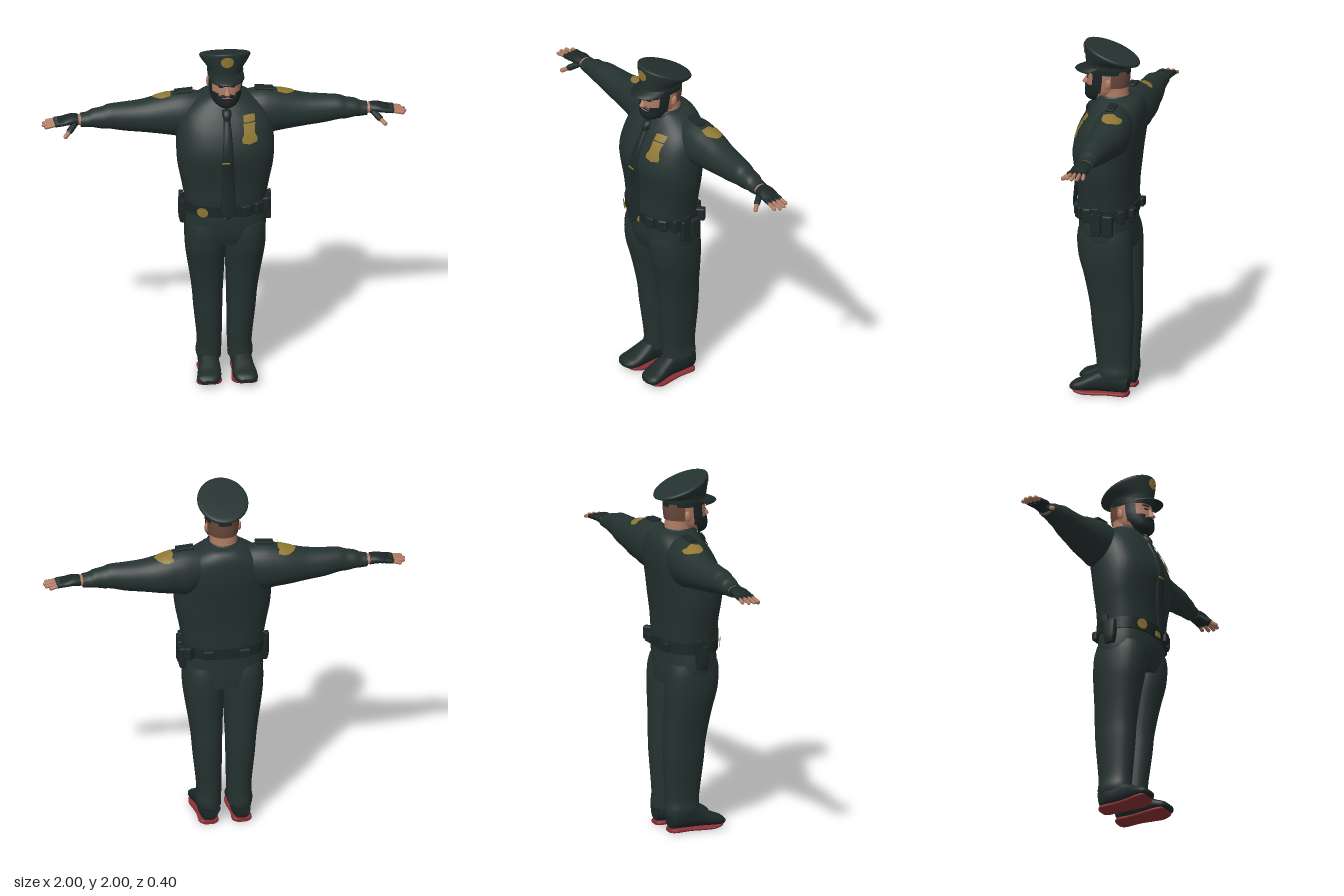
import * as THREE from 'three';
import { RoundedBoxGeometry } from 'three/addons/geometries/RoundedBoxGeometry.js';

const AXES = { x: [0, 2, 1], y: [1, 0, 2], z: [2, 1, 0] }; // [along, u, w]

// Catmull-Rom refinement of rings
function refine(rings, steps) {
  const out = [];
  for (let i = 0; i < rings.length - 1; i++) {
    const [p0, p1, p2, p3] = [-1, 0, 1, 2].map(k => rings[Math.min(Math.max(i + k, 0), rings.length - 1)]);
    for (let s = 0; s < steps; s++) {
      const t = s / steps;
      out.push(p1.map((b, k) => {
        const a = p0[k], c = p2[k], d = p3[k];
        return b + 0.5 * t * (c - a + t * (2 * a - 5 * b + 4 * c - d + t * (3 * (b - c) + d - a)));
      }));
    }
  }
  out.push(rings[rings.length - 1]);
  return out;
}

// Skin over oval rings [t, uMin, uMax, wMin, wMax, tilt], ascending along the axis
function loft(axis, rings, { segs = 28, steps = 4, power = 1, arc = null, caps = true } = {}) {
  const [A, U, W] = AXES[axis], pos = [], idx = [];
  const rows = refine(rings.map(r => [...r, 0].slice(0, 6)), steps);
  const n = arc ? segs + 1 : segs, [a0, a1] = arc || [0, Math.PI * 2];
  const bend = v => Math.sign(v) * Math.abs(v) ** power;
  const point = (r, j) => {
    const a = a0 + (a1 - a0) * j / segs, p = [0, 0, 0], dw = bend(Math.cos(a)) * (r[4] - r[3]) / 2;
    p[U] = (r[1] + r[2]) / 2 + bend(Math.sin(a)) * (r[2] - r[1]) / 2;
    p[W] = (r[3] + r[4]) / 2 + dw;
    p[A] = r[0] + r[5] * dw;
    return p;
  };
  rows.forEach(r => { for (let j = 0; j < n; j++) pos.push(...point(r, j)); });
  for (let i = 0; i < rows.length - 1; i++) for (let j = 0; j < segs; j++) {
    const k = (j + 1) % n, a = i * n + j, b = i * n + k, c = b + n, d = a + n;
    idx.push(a, b, c, a, c, d);
  }
  if (caps && !arc) for (const [r, top] of [[rows[0], false], [rows[rows.length - 1], true]]) {
    const s = pos.length / 3, c = [0, 0, 0];
    c[A] = r[0]; c[U] = (r[1] + r[2]) / 2; c[W] = (r[3] + r[4]) / 2;
    pos.push(...c);
    for (let j = 0; j < n; j++) pos.push(...point(r, j));
    for (let j = 0; j < n; j++) {
      const p = s + 1 + j, q = s + 1 + (j + 1) % n;
      idx.push(s, ...(top ? [p, q] : [q, p]));
    }
  }
  return build(pos, idx);
}

function build(pos, idx) {
  const g = new THREE.BufferGeometry();
  g.setAttribute('position', new THREE.Float32BufferAttribute(pos, 3));
  g.setIndex(idx);
  g.computeVertexNormals();
  return g;
}

// Thin plate laid on a mesh: outline in (x,y) dropped along -z, or in (x,z) dropped along -y
function drape(target, outline, down = false, lift = 0.005) {
  const pts = down ? [...outline].reverse() : outline, n = pts.length, R = 5, pos = [], idx = [];
  const cx = pts.reduce((s, p) => s + p[0], 0) / n, cy = pts.reduce((s, p) => s + p[1], 0) / n;
  const dir = down ? new THREE.Vector3(0, -1, 0) : new THREE.Vector3(0, 0, -1);
  const ray = new THREE.Raycaster();
  let last = 0;
  for (let k = 0; k <= R; k++) for (const p of pts) {
    const x = cx + (p[0] - cx) * k / R, y = cy + (p[1] - cy) * k / R;
    ray.set(down ? new THREE.Vector3(x, 3, y) : new THREE.Vector3(x, y, 3), dir);
    const hit = ray.intersectObject(target)[0];
    if (hit) last = (down ? hit.point.y : hit.point.z) + lift;
    pos.push(...(down ? [x, last, y] : [x, y, last]));
  }
  for (let k = 0; k < R; k++) for (let j = 0; j < n; j++) {
    const a = k * n + j, b = k * n + (j + 1) % n;
    idx.push(a, a + n, b + n, a, b + n, b);
  }
  return build(pos, idx);
}

const oval = (x, y, rx, ry, n = 20) => Array.from({ length: n }, (_, i) =>
  [x + rx * Math.cos(i / n * Math.PI * 2), y + ry * Math.sin(i / n * Math.PI * 2)]);

// Rounded rod between two points
function rod(a, b, r) {
  const p = new THREE.Vector3(...a), d = new THREE.Vector3(...b).sub(p), g = new THREE.CapsuleGeometry(r, d.length(), 4, 10);
  g.applyQuaternion(new THREE.Quaternion().setFromUnitVectors(new THREE.Vector3(0, 1, 0), d.clone().normalize()));
  return g.translate(p.x + d.x / 2, p.y + d.y / 2, p.z + d.z / 2);
}

const box = (x, y, z, w, h, d, ry = 0) => new RoundedBoxGeometry(w, h, d, 2, Math.min(w, h, d) * 0.25).rotateY(ry).translate(x, y, z);

function mirrored(geo) {
  const g = geo.index ? geo.clone() : geo.clone().setIndex([...Array(geo.attributes.position.count).keys()]);
  g.scale(-1, 1, 1);
  const ix = g.index.array;
  for (let i = 0; i < ix.length; i += 3) [ix[i], ix[i + 1]] = [ix[i + 1], ix[i]];
  g.computeVertexNormals();
  return g;
}

export function createModel() {
  const model = new THREE.Group();
  const paint = (name, color) => Object.assign(new THREE.MeshStandardMaterial({ color, side: THREE.DoubleSide }), { name });
  const cloth = paint('uniform cloth', 0x243230), leather = paint('dark leather', 0x1c2827), gold = paint('gold', 0x8f7834),
    skin = paint('skin', 0xae7a62), beardDark = paint('beard', 0x1b2425), hairBrown = paint('cropped hair', 0x67473a),
    red = paint('red sole', 0x8c3035);
  const add = (name, geo, mat) => {
    const m = new THREE.Mesh(geo, mat);
    m.name = name;
    model.add(m);
    return m;
  };
  const pair = (name, geo, mat) => [add(name + 'Left', geo, mat), add(name + 'Right', mirrored(geo), mat)];
  const sym = rows => rows.map(([t, u, ...rest]) => [t, -u, u, ...rest]);

  // Shirt
  const torso = add('torso', loft('y', sym([[1.03, .215, -.15, .15], [1.1, .225, -.157, .158], [1.2, .243, -.16, .162],
    [1.3, .262, -.17, .176], [1.4, .268, -.182, .186], [1.5, .262, -.196, .158], [1.58, .24, -.197, .118],
    [1.64, .19, -.19, .08], [1.685, .12, -.165, .05], [1.7, .08, -.12, .04]]), { power: .85, segs: 40 }), cloth);
  const [armL] = pair('sleeve', loft('x', [[.08, -.16, .0, 1.5, 1.67], [.2, -.187, .025, 1.42, 1.688], [.28, -.19, .02, 1.43, 1.68],
    [.35, -.188, .01, 1.44, 1.662], [.45, -.172, -.002, 1.455, 1.638], [.55, -.16, -.01, 1.468, 1.628], [.63, -.146, -.015, 1.485, 1.622],
    [.67, -.138, -.02, 1.487, 1.608], [.72, -.134, -.026, 1.497, 1.598], [.75, -.128, -.03, 1.498, 1.582], [.785, -.126, -.034, 1.502, 1.576]]), cloth);
  add('collarBand', loft('y', sym([[1.65, .115, -.16, .075], [1.685, .098, -.135, .07], [1.705, .086, -.12, .06]]), { caps: false }), cloth);
  pair('collarFlap', drape(torso, [[.006, 1.635], [.05, 1.585], [.075, 1.6], [.1, 1.63], [.095, 1.665], [.05, 1.675], [.02, 1.66]], false, .01), cloth);
  pair('epaulette', new RoundedBoxGeometry(.1, .014, .05, 2, .004).rotateZ(-.08).translate(.22, 1.692, -.075), leather);
  pair('shoulderPatch', drape(armL, [[.29, -.155], [.29, -.1], [.295, -.05], [.34, -.05], [.37, -.065], [.392, -.095], [.375, -.13], [.35, -.15], [.32, -.158]], true), gold);

  // Tie, clip and chest badge
  add('tie', loft('y', sym([[1.03, .004, .185, .2], [1.07, .037, .184, .2], [1.2, .037, .17, .19], [1.3, .034, .17, .192],
    [1.4, .03, .18, .198], [1.5, .025, .15, .174], [1.6, .018, .09, .125]]), { segs: 16 }), leather);
  add('tieKnot', loft('y', sym([[1.59, .016, .08, .132], [1.62, .026, .07, .128], [1.645, .024, .05, .11]]), { segs: 16 }), leather);
  add('tieClip', box(-.012, 1.37, .197, .042, .009, .009), gold);
  add('badgeBar', drape(torso, [[.09, 1.578], [.12, 1.575], [.155, 1.578], [.155, 1.61], [.12, 1.613], [.09, 1.61]], false, .008), gold);
  add('badge', drape(torso, [[.08, 1.475], [.12, 1.465], [.163, 1.475], [.165, 1.495], [.152, 1.52], [.152, 1.555], [.158, 1.572],
    [.12, 1.572], [.088, 1.572], [.09, 1.555], [.09, 1.52], [.078, 1.495]], false, .008), gold);

  // Trousers
  add('hips', loft('y', sym([[.84, .205, -.155, .125], [.9, .222, -.157, .145], [.97, .224, -.153, .153], [1.05, .216, -.15, .152]]), { power: .85 }), cloth);
  pair('trouserLeg', loft('y', [[.1, .018, .152, -.15, .038], [.13, .018, .156, -.152, .042], [.2, .015, .15, -.15, .046], [.4, .012, .17, -.162, .068],
    [.5, .01, .178, -.164, .076], [.6, .006, .191, -.161, .092], [.7, .001, .207, -.161, .112], [.8, -.002, .22, -.161, .137],
    [.9, -.002, .222, -.155, .146], [.96, 0, .215, -.14, .14]], { power: .9 }), cloth);

  // Shoes
  pair('shoe', loft('z', [[-.135, .03, .135, .065, .125], [-.128, .045, .135, .02, .13], [-.08, .032, .145, .018, .15], [0, .036, .146, .018, .15],
    [.06, .032, .152, .018, .122], [.12, .032, .164, .018, .088], [.165, .045, .163, .02, .07], [.188, .075, .135, .03, .05]]
    .map(([t, a, b, c, d]) => [t, c, d, a, b]), { power: .8 }), leather);
  pair('sole', loft('z', [[-.135, 0, .022, .055, .125], [-.11, 0, .026, .036, .146], [-.03, .002, .024, .038, .146], [.05, 0, .024, .03, .156],
    [.11, .002, .026, .027, .168], [.155, .012, .032, .045, .16], [.17, .02, .034, .07, .14]], { power: .6 }), red);

  // Hands in fingerless gloves
  pair('wrist', loft('x', [[.76, -.115, -.045, 1.51, 1.568], [.815, -.118, -.04, 1.515, 1.57]]), skin);
  pair('glove', loft('x', [[.8, -.122, -.038, 1.512, 1.572], [.84, -.128, -.03, 1.518, 1.572], [.88, -.128, -.026, 1.517, 1.56], [.91, -.122, -.03, 1.52, 1.548]]), leather);
  [[-.113, .965], [-.089, .985], [-.063, .989], [-.039, .978]].forEach(([z, tip], i) => {
    const tipZ = z + (i - 1.5) * .004;
    pair('fingerSleeve' + (i + 1), rod([.885, 1.537, z], [.922, 1.533, z], .0135), leather);
    pair('finger' + (i + 1), rod([.92, 1.533, z], [tip, 1.523, tipZ], .0105), skin);
  });
  pair('thumbSleeve', rod([.815, 1.532, -.055], [.85, 1.505, -.012], .0175), leather);
  pair('thumb', rod([.85, 1.505, -.012], [.876, 1.486, .018], .0125), skin);

  // Head
  add('neck', loft('y', sym([[1.6, .085, -.13, .03], [1.68, .076, -.112, .04], [1.76, .074, -.105, .04]])), skin);
  const skull = [[1.672, .035, .02, .105], [1.69, .058, -.03, .118], [1.72, .076, -.08, .122], [1.76, .084, -.108, .122], [1.8, .088, -.113, .118], [1.85, .09, -.113, .12]];
  const head = add('head', loft('y', sym(skull), { power: .9 }), skin);
  pair('ear', new THREE.SphereGeometry(1, 12, 10).scale(.012, .03, .018).rotateX(-.15).translate(.09, 1.775, -.018), skin);
  add('nose', loft('y', sym([[1.748, .014, .1, .138], [1.757, .018, .1, .15], [1.78, .011, .1, .136], [1.805, .008, .1, .122]]), { segs: 12 }), skin);
  add('beard', loft('y', sym([[1.658, .025, .045, .1], [1.672, .05, -.01, .122], [1.69, .069, -.045, .132], [1.71, .08, -.07, .134], [1.732, .088, -.095, .133]]),
    { power: .9, arc: [-1.5, 1.5] }), beardDark);
  const shell = [[1.72, .084, -.1, .13], [1.76, .091, -.113, .129], [1.8, .093, -.118, .124], [1.835, .094, -.118, .122]];
  pair('sideburn', loft('y', sym(shell), { power: .9, arc: [1.0, 1.5], segs: 8 }), beardDark);
  pair('cheekBeard', loft('y', sym(shell.slice(0, 2)), { power: .9, arc: [.5, 1.1], segs: 8 }), beardDark);
  pair('moustache', rod([.008, 1.746, .126], [.036, 1.736, .113], .009), beardDark);
  pair('eye', drape(head, oval(.034, 1.796, .014, .006), false, .003), beardDark);
  pair('eyebrow', drape(head, oval(.036, 1.815, .022, .006), false, .005), beardDark);
  add('croppedHair', loft('y', sym([[1.75, .086, -.112, .124], [1.79, .09, -.117, .121], [1.845, .093, -.118, .121]]),
    { power: .9, arc: [1.85, Math.PI * 2 - 1.85] }), hairBrown);

  // Peaked cap
  const cap = add('capCrown', loft('y', sym([[1.825, .093, -.116, .124, .02], [1.872, .096, -.118, .128, .05], [1.9, .12, -.148, .132, .22],
    [1.925, .138, -.168, .134, .36], [1.938, .138, -.17, .132, .38], [1.945, .125, -.155, .118, .38], [1.948, .06, -.09, .05, .38]]), { steps: 3, segs: 36 }), cloth);
  add('capBand', loft('y', sym([[1.828, .097, -.12, .129, .02], [1.858, .099, -.121, .131, .04]]), { steps: 1, segs: 36 }), leather);
  add('capVisor', loft('y', sym([[1.826, .098, -.07, .186, .04], [1.832, .1, -.07, .188, .05], [1.845, .099, -.09, .165, .05], [1.86, .096, -.11, .13, .04]]),
    { arc: [-1.35, 1.35] }), leather);
  add('capBadge', drape(cap, oval(0, 1.953, .036, .032), false, .006), gold);

  // Duty belt and gear
  const belt = add('belt', loft('y', sym([[1.025, .226, -.16, .163], [1.09, .228, -.164, .168]]), { power: .85, steps: 1, segs: 40 }), leather);
  add('buckle', box(0, 1.04, .168, .04, .03, .009), gold);
  add('beltBadge', drape(belt, oval(-.138, 1.056, .03, .029), false, .012), gold);
  [[.1, 1.06, .15, .055, .065, .04, .25], [.17, 1.06, .118, .055, .07, .04, .7], [.215, 1.06, .065, .04, .08, .05, 0],
    [.232, 1.015, .012, .035, .13, .06, 0], [.23, 1.01, -.055, .035, .12, .058, 0], [.195, 1.06, -.115, .06, .075, .04, .75],
    [.1, 1.06, -.16, .06, .05, .03, 0], [-.1, 1.06, -.16, .06, .05, .03, 0]]
    .forEach((p, i) => add('pouch' + (i + 1), box(...p), leather));
  add('radio', box(.242, 1.085, .01, .016, .05, .04), leather);
  add('holster', loft('y', [[.94, -.248, -.205, -.03, .025], [.98, -.256, -.205, -.035, .035], [1.07, -.256, -.21, -.045, .04]], { power: .6, segs: 20 }), leather);
  add('holsterGrip', box(-.24, 1.085, -.025, .025, .05, .035), leather);
  return model;
}
